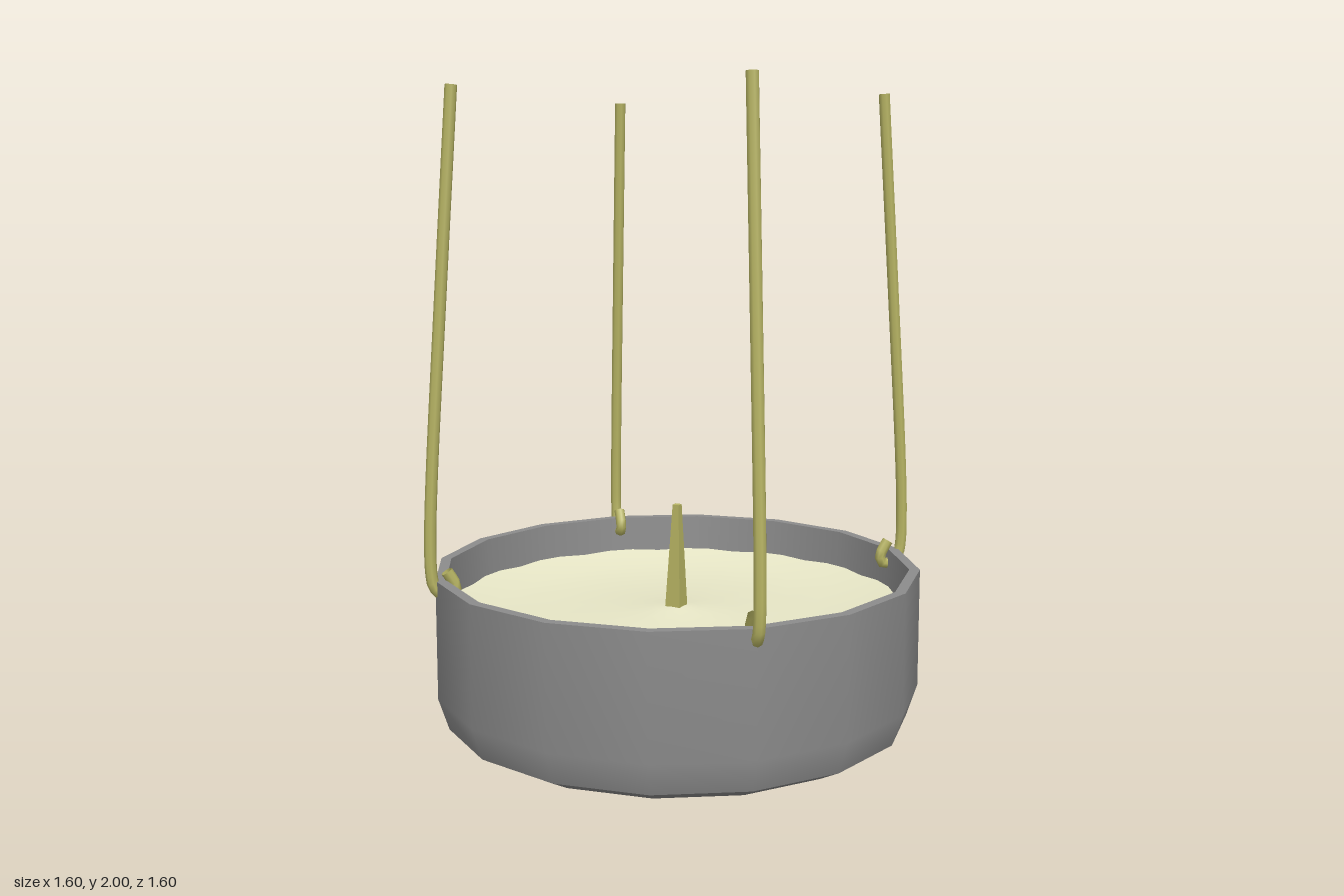
import * as THREE from 'three';

const SIDES = 16;
const v2 = (p) => new THREE.Vector2(p[0], p[1]);

export function createModel() {
  const model = new THREE.Group();
  model.name = 'hangingCandle';

  const bowlMat = new THREE.MeshStandardMaterial({ color: 0x8c8c8c });
  bowlMat.name = 'grey bowl';
  const waxMat = new THREE.MeshStandardMaterial({ color: 0xe8e7c7 });
  waxMat.name = 'cream wax';
  const ropeMat = new THREE.MeshStandardMaterial({ color: 0xb7b463, side: THREE.DoubleSide });
  ropeMat.name = 'olive rope';

  const add = (parent, name, geometry, material) => {
    const mesh = new THREE.Mesh(geometry, material);
    mesh.name = name;
    parent.add(mesh);
    return mesh;
  };

  // Bowl: one lathe per profile section keeps the edges between them sharp
  const bowl = new THREE.Group();
  bowl.name = 'bowl';
  model.add(bowl);
  const sections = {
    bowlBase: [[0, 0], [0.66, 0], [0.735, 0.04]],
    bowlWall: [[0.735, 0.04], [0.768, 0.14], [0.768, 0.514]],
    bowlRim: [[0.768, 0.514], [0.735, 0.514]],
    bowlInside: [[0.735, 0.514], [0.72, 0.3]],
  };
  for (const [name, pts] of Object.entries(sections)) {
    add(bowl, name, new THREE.LatheGeometry(pts.map(v2), SIDES), bowlMat);
  }

  // Wax: a shallow melted dish rising again to the wick, turned half a side against the bowl
  const waxProfile = [[0.732, 0.397], [0.6, 0.367], [0.42, 0.352], [0.2, 0.358], [0.07, 0.374], [0, 0.383]];
  const wax = add(model, 'wax', new THREE.LatheGeometry(waxProfile.map(v2), SIDES), waxMat);
  wax.rotation.y = Math.PI / SIDES;

  // Wick: slim four-sided taper, leaning slightly
  const wickGeo = new THREE.CylinderGeometry(0.015, 0.038, 0.35, 4).toNonIndexed();
  wickGeo.computeVertexNormals();
  const wick = add(model, 'wick', wickGeo, ropeMat);
  wick.position.set(-0.002, 0.535, 0.005);
  wick.rotation.x = 0.03;

  // Ropes: open tubes, each running down outside, through the wall, and hooking up inside the rim
  const path = new THREE.CatmullRomCurve3([
    [0.69, 1.999], [0.733, 1.4], [0.773, 0.82], [0.781, 0.64], [0.78, 0.54],
    [0.772, 0.497], [0.745, 0.468], [0.717, 0.468], [0.706, 0.49], [0.717, 0.516], [0.733, 0.542],
  ].map(([x, y]) => new THREE.Vector3(x, y, 0)), false, 'centripetal');
  const ropeGeo = new THREE.TubeGeometry(path, 80, 0.0185, 8);
  ['left', 'back', 'right', 'front'].forEach((side, i) => {
    const rope = add(model, side + 'Rope', ropeGeo, ropeMat);
    rope.rotation.y = i * Math.PI / 2;
  });

  return model;
}
